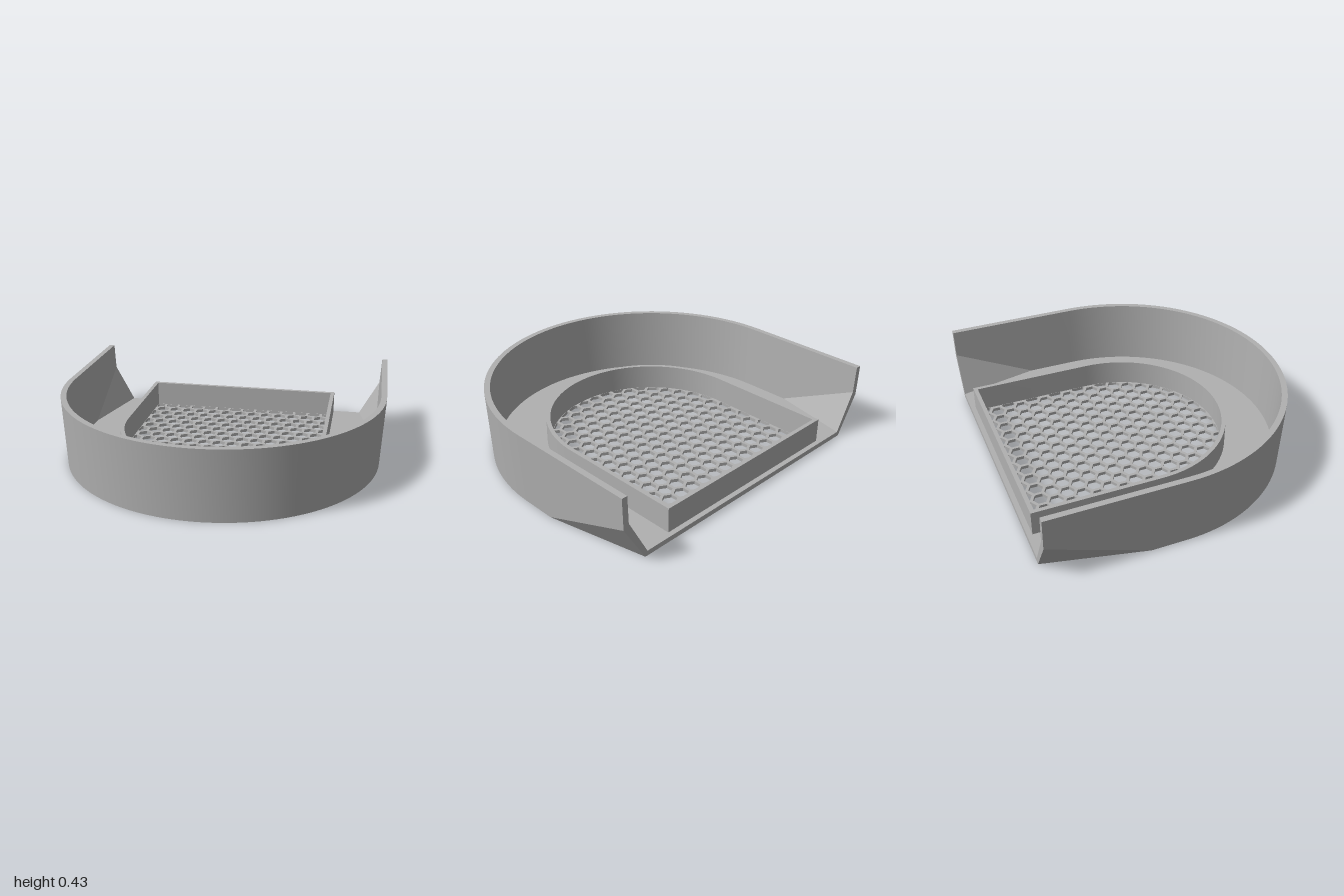
import * as THREE from 'three';
import { toCreasedNormals } from 'three/addons/utils/BufferGeometryUtils.js';

const ARC = 64, ARC_Z = -0.1, BACK = -0.9;
const HEIGHT = 0.43, FLOOR = 0.03;
const lerp = THREE.MathUtils.lerp;
const V2 = (x, y) => new THREE.Vector2(x, y);

// Half-round points at radius r, in plan coordinates (x, -z), counter-clockwise
function arcPoints(r) {
  return Array.from({ length: ARC + 1 }, (_, i) => {
    const a = Math.PI * (1 + i / ARC);
    return V2(r * Math.cos(a), -ARC_Z + r * Math.sin(a));
  });
}

// U outline: round front, straight sides, flat back
const uOutline = (r, back) => [V2(-r, -back), ...arcPoints(r), V2(r, -back)];

// Extrude a plan outline upward from y0 to y1
function slab(points, holes, y0, y1) {
  const shape = new THREE.Shape(points);
  shape.holes = holes.map((h) => new THREE.Path(h));
  const g = new THREE.ExtrudeGeometry(shape, { depth: y1 - y0, bevelEnabled: false });
  g.rotateX(-Math.PI / 2).translate(0, y0, 0);
  return toCreasedNormals(g, 0.5);
}

// Clip a polygon to a convex counter-clockwise region
function clip(poly, region) {
  region.forEach((a, i) => {
    const b = region[(i + 1) % region.length];
    const side = (p) => (b.x - a.x) * (p.y - a.y) - (b.y - a.y) * (p.x - a.x);
    const out = [];
    poly.forEach((p, k) => {
      const q = poly[(k + 1) % poly.length], sp = side(p), sq = side(q);
      if (sp >= 0) out.push(p);
      if (sp * sq < 0) out.push(p.clone().lerp(q, sp / (sp - sq)));
    });
    poly = out;
  });
  return poly;
}

// Honeycomb openings, trimmed to the inside of the rim
function honeycomb(region) {
  const pitch = 0.094, row = pitch * 0.866, r = 0.076 / Math.sqrt(3);
  const cells = [];
  for (let k = -1; k < 18; k++) {
    for (let c = -8; c <= 8; c++) {
      const x = (c + (k % 2 === 0 ? 0.5 : 0)) * pitch, y = -0.48 + k * row;
      const hex = Array.from({ length: 6 }, (_, i) => {
        const a = Math.PI / 6 + (i * Math.PI) / 3;
        return V2(x + r * Math.cos(a), y + r * Math.sin(a));
      });
      const cell = clip(hex, region);
      if (cell.length > 2 && Math.abs(THREE.ShapeUtils.area(cell)) > 0.0002) cells.push(cell);
    }
  }
  return cells;
}

// Tapered outer wall lofted along the U, with sloping cut-offs at the lower back corners
function wallGeometry() {
  const straight = [BACK, -0.4, -0.31];
  const stations = [
    ...straight.map((z) => ({ nx: -1, nz: 0, z })),
    ...Array.from({ length: ARC + 1 }, (_, i) => {
      const a = Math.PI * (1 - i / ARC);
      return { nx: Math.cos(a), nz: Math.sin(a), z: ARC_Z };
    }),
    ...straight.slice().reverse().map((z) => ({ nx: 1, nz: 0, z })),
  ];
  const sections = stations.map(({ nx, nz, z }) => {
    const t = Math.max(0, (-0.31 - z) / 0.59), u = Math.max(0, (-0.4 - z) / 0.5);
    const yo = 0.24 * t, yi = lerp(FLOOR, 0.265, u);
    return [
      [1, HEIGHT],
      [0.98 + (0.02 * yo) / HEIGHT, yo],
      [lerp(0.98, 0.845, t), 0],
      [lerp(0.945, 0.83, u), FLOOR],
      [lerp(0.945, 0.965, (yi - FLOOR) / (HEIGHT - FLOOR)), yi],
      [0.965, HEIGHT],
    ].map(([r, y]) => [nx * r, y, z + nz * r]);
  });
  const pos = [];
  const quad = (a, b, c, d) => pos.push(...a, ...b, ...c, ...a, ...c, ...d);
  for (let i = 0; i < sections.length - 1; i++) {
    const s = sections[i], n = sections[i + 1];
    for (const j of [0, 1, 3, 4, 5]) {
      const k = (j + 1) % 6;
      quad(s[j], s[k], n[k], n[j]);
    }
  }
  // end faces at the open back
  const s = sections[0], e = sections[sections.length - 1];
  quad(s[5], s[4], s[1], s[0]);
  quad(s[4], s[3], s[2], s[1]);
  quad(e[0], e[1], e[4], e[5]);
  quad(e[1], e[2], e[3], e[4]);
  const g = new THREE.BufferGeometry();
  g.setAttribute('position', new THREE.Float32BufferAttribute(pos, 3));
  return toCreasedNormals(g, 0.3);
}

export function createModel() {
  const group = new THREE.Group();
  group.name = 'tray';
  const grey = new THREE.MeshStandardMaterial({ color: 0xb0b0b0 });
  grey.name = 'grey plastic';
  const add = (name, geometry) => {
    const mesh = new THREE.Mesh(geometry, grey);
    mesh.name = name;
    group.add(mesh);
  };

  add('outerWall', wallGeometry());

  // floor with cut back corners and an opening for the grille
  const opening = uOutline(0.64, -0.86);
  const floorOutline = [
    V2(-0.845, -BACK), V2(-0.98, 0.31), ...arcPoints(0.98), V2(0.98, 0.31), V2(0.845, -BACK),
  ];
  add('floor', slab(floorOutline, [opening], 0, FLOOR));

  // raised rim round the grille
  add('grilleRim', slab(uOutline(0.65, -0.87), [uOutline(0.625, -0.845)], 0.005, 0.18));

  // honeycomb grille
  add('grille', slab(opening, honeycomb(uOutline(0.623, -0.843)), 0, 0.02));

  return group;
}
